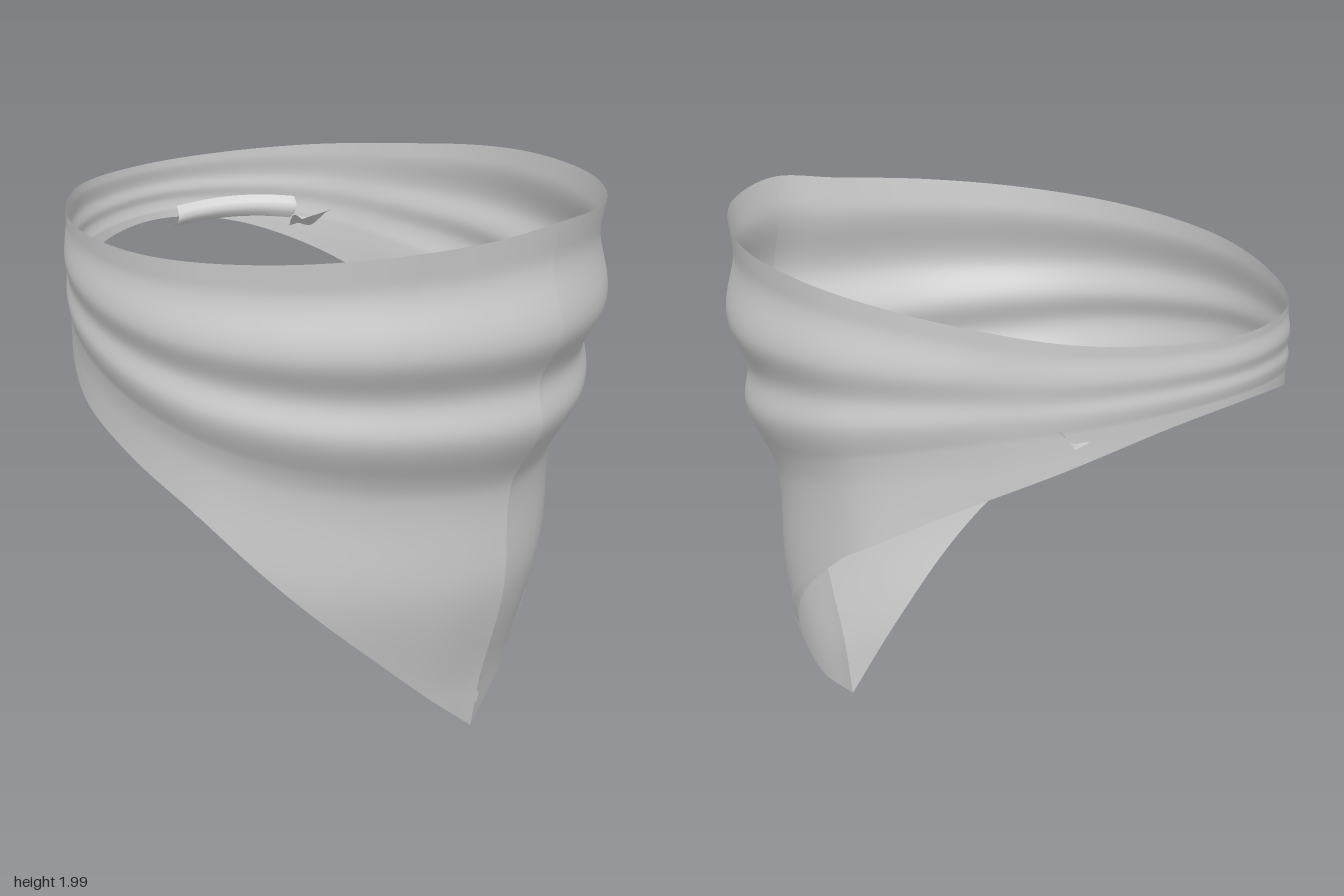
import * as THREE from 'three';

const V = (x, y, z) => new THREE.Vector3(x, y, z);
const lerp = THREE.MathUtils.lerp;
const COLS = 18;

// Matching stations round the cloth, from the front tip towards +x and back again
const top = new THREE.CatmullRomCurve3([
  V(.18, 1.985, .985), V(.45, 1.965, .89), V(.65, 1.94, .68), V(.78, 1.915, .42), V(.83, 1.89, .12), V(.80, 1.86, -.15),
  V(.69, 1.82, -.43), V(.5, 1.78, -.73), V(.22, 1.755, -.92), V(-.1, 1.745, -.99), V(-.42, 1.755, -.9), V(-.65, 1.78, -.64),
  V(-.79, 1.81, -.33), V(-.83, 1.835, 0), V(-.77, 1.86, .3), V(-.6, 1.89, .58), V(-.36, 1.92, .79), V(-.07, 1.95, .93),
], true, 'catmullrom');
const bottom = new THREE.CatmullRomCurve3([
  V(.18, 0, .64), V(.4, .2, .56), V(.6, .48, .41), V(.74, .74, .22), V(.81, .95, -.02), V(.80, 1.06, -.2),
  V(.69, 1.2, -.44), V(.5, 1.36, -.73), V(.22, 1.48, -.92), V(-.1, 1.52, -.99), V(-.42, 1.47, -.9), V(-.65, 1.33, -.64),
  V(-.79, 1.2, -.33), V(-.81, 1.1, 0), V(-.73, .97, .28), V(-.58, .78, .44), V(-.36, .53, .57), V(-.07, .23, .64), V(.18, 0, .64),
], false, 'catmullrom');

// Fold profile at the front: [height, outward bulge]
const FOLDS = [[0, 0], [.15, 0], [.6, .035], [1, -.01], [1.27, .07], [1.42, .03], [1.6, .08], [1.88, 0], [2.1, 0]];
function foldDepth(h) {
  for (let i = 1; i < FOLDS.length; i++) {
    const [h0, d0] = FOLDS[i - 1], [h1, d1] = FOLDS[i];
    if (h <= h1) return lerp(d0, d1, THREE.MathUtils.smoothstep(h, h0, h1));
  }
  return 0;
}

// Point on the cloth: u runs round it, v from the top edge (0) to the hem (1)
function clothPoint(u, v, lift = 0) {
  const t = top.getPoint(u % 1), b = bottom.getPoint(u);
  const p = t.clone().lerp(b, v);
  const back = (1 - t.z) / 2;
  const low = 1.1 + .45 * back;           // lowest fold rises towards the back
  const h = p.y > low ? 1.1 + (p.y - low) / (t.y - low) * .885 : p.y - .45 * back;
  const amount = lerp(1, .12, Math.min(1, back * 1.25));
  const out = V(p.x, 0, p.z).normalize();
  return p.addScaledVector(out, foldDepth(h) * amount + lift);
}

// Smooth sheet from a grid of points
function sheet(name, nu, nv, fn) {
  const pos = [], idx = [];
  for (let i = 0; i <= nu; i++) for (let j = 0; j <= nv; j++) pos.push(...fn(i / nu, j / nv).toArray());
  for (let i = 0; i < nu; i++) for (let j = 0; j < nv; j++) {
    const a = i * (nv + 1) + j, c = a + nv + 1;
    idx.push(a, a + 1, c, c, a + 1, c + 1);
  }
  const g = new THREE.BufferGeometry();
  g.setAttribute('position', new THREE.Float32BufferAttribute(pos, 3));
  g.setIndex(idx);
  g.computeVertexNormals();
  const m = new THREE.Mesh(g, new THREE.MeshStandardMaterial({ color: 0xcccccc, side: THREE.DoubleSide }));
  m.name = name;
  return m;
}

export function createModel() {
  const model = new THREE.Group();
  model.name = 'neckerchief';

  const cloth = sheet('cloth', 180, 80, clothPoint);
  model.add(cloth);

  // Narrow trim following the hem on both sides of the tip
  const trim = (name, u0, u1) => model.add(sheet(name, 60, 2, (s, w) => {
    const u = lerp(u0, u1, s);
    const fade = Math.abs(u - Math.round(u)) * COLS / 4;
    const above = lerp(lerp(.155, .11, w), lerp(.03, .005, w), fade);
    const height = top.getPoint(u % 1).y - bottom.getPoint(u).y;
    return clothPoint(u, 1 - above / height, .008);
  }));
  trim('hemTrimLeft', 0, 4 / COLS);
  trim('hemTrimRight', 14 / COLS, 1);

  // Zigzag stitches laid on the front of the cloth
  const ray = new THREE.Raycaster();
  const onFront = (x, y) => {
    ray.set(V(x, y, 3), V(0, 0, -1));
    const hit = ray.intersectObject(cloth)[0];
    return V(x, y, (hit ? hit.point.z : .75) + .008);
  };
  const stitch = (name, pts) => {
    const n = pts.length - 1;
    model.add(sheet(name, n * 6, 1, (s, w) => {
      const i = Math.min(n - 1, Math.floor(s * n + 1e-6)), f = s * n - i;
      return onFront(lerp(pts[i][0], pts[i + 1][0], f) + w * .018, lerp(pts[i][1], pts[i + 1][1], f) - w * .012);
    }));
  };
  stitch('zigzagStitchRight', [[-.05, .79], [-.05, .88], [.05, .835], [.04, .93], [.115, .9]]);
  stitch('zigzagStitchLeft', [[.35, .74], [.36, .83], [.41, .87], [.42, .96], [.48, 1]]);

  // Loose strap inside the back
  const strap = new THREE.QuadraticBezierCurve3(V(-.08, 1.57, -.83), V(.15, 1.6, -.79), V(.31, 1.59, -.62));
  model.add(sheet('innerStrap', 16, 4, (s, w) =>
    strap.getPoint(s).add(V(-.02 * (w - .5), .08 * (.5 - w), .03 * Math.sin(w * Math.PI) - .015))));

  // Small knot end poking through the back
  model.add(sheet('knotEnd', 10, 8, (s, w) => {
    const x = lerp(.36 + .04 * w * w, .52, s);
    const z = lerp(lerp(-.64, -.78, w), lerp(-.67, -.80, w), s);
    return V(x, 1.53 - .07 * w + .03 * Math.sin(w * Math.PI) * Math.cos(s * 5), z);
  }));

  return model;
}
